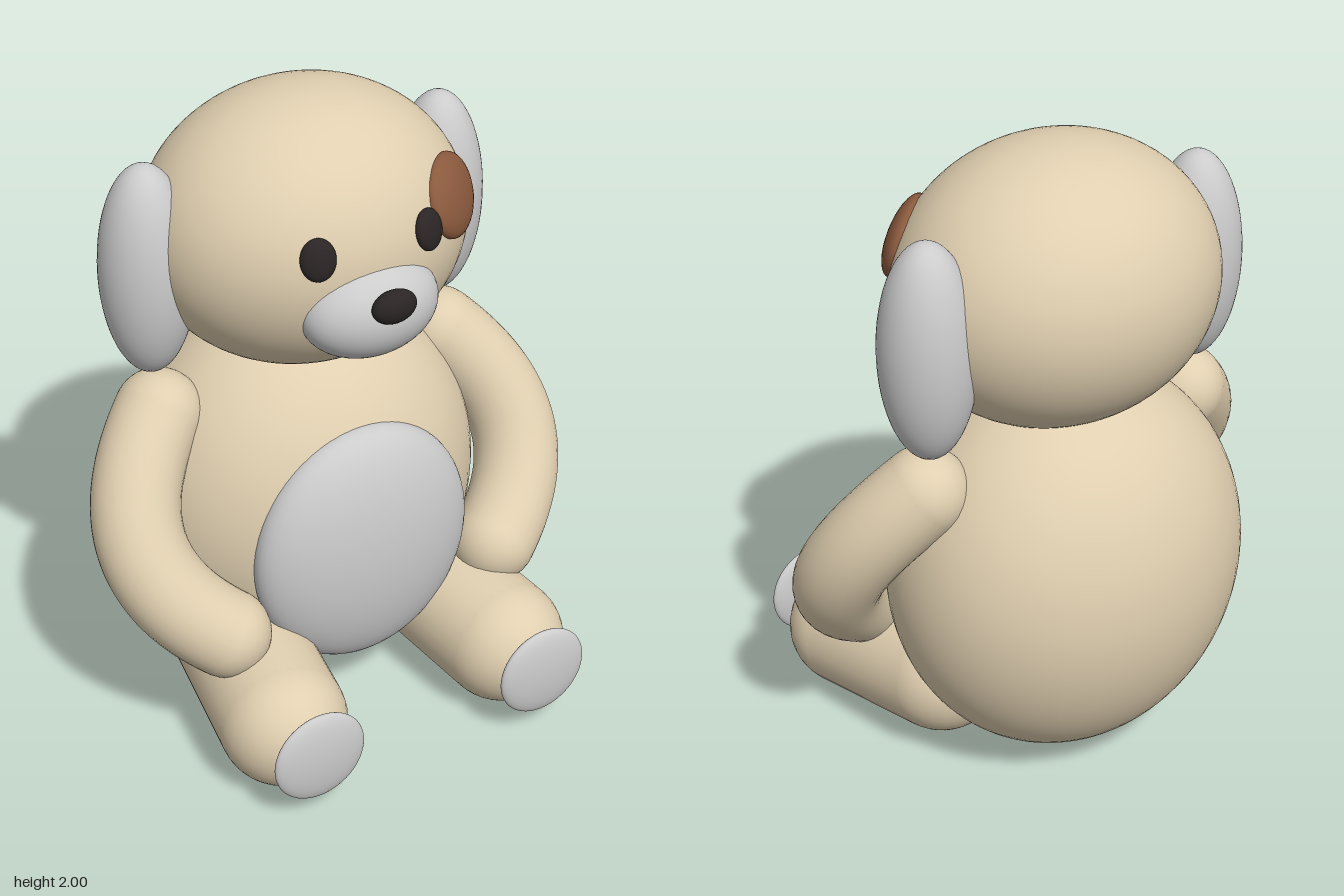
import * as THREE from 'three';

const V = (x, y, z) => new THREE.Vector3(x, y, z);
const mat = (color) => new THREE.MeshStandardMaterial({ color });

export function createModel() {
  const model = new THREE.Group();
  model.name = 'plushDog';
  const fur = mat(0xe0cfb0), grey = mat(0xcccccc), brown = mat(0x8b5a3e), dark = mat(0x2b2525);

  const add = (name, geometry, material, parent = model) => {
    const mesh = new THREE.Mesh(geometry, material);
    mesh.name = name;
    parent.add(mesh);
    return mesh;
  };

  // Ellipsoid with centre c and radii r
  const ellipsoid = (name, material, c, r, segments = 48) => {
    const mesh = add(name, new THREE.SphereGeometry(1, segments, segments * 0.67 | 0), material);
    mesh.position.set(...c);
    mesh.scale.set(...r);
    return mesh;
  };

  // Torso and head
  ellipsoid('body', fur, [0, 0.65, -0.19], [0.585, 0.635, 0.49], 64);
  ellipsoid('belly', grey, [0, 0.605, 0.21], [0.37, 0.415, 0.15]);
  const headCentre = V(0, 1.57, -0.14), headRadii = V(0.51, 0.43, 0.445);
  ellipsoid('head', fur, headCentre.toArray(), headRadii.toArray(), 64);

  // Flat spot lying on the head, turned along the head's surface normal
  const spot = (name, material, c, r) => {
    const mesh = ellipsoid(name, material, c, r, 32);
    const normal = V(...c).sub(headCentre).divide(headRadii).divide(headRadii);
    mesh.lookAt(normal.add(mesh.position));
  };

  // Face
  ellipsoid('muzzle', grey, [0, 1.46, 0.24], [0.22, 0.155, 0.148]);
  ellipsoid('nose', dark, [0, 1.52, 0.38], [0.072, 0.052, 0.038], 32);
  spot('eyePatch', brown, [0.325, 1.69, 0.155], [0.147, 0.126, 0.05]);

  // Round-ended limb along a curve
  const limb = (name, curve, radius) => {
    const group = new THREE.Group();
    group.name = name;
    add(name + 'Tube', new THREE.TubeGeometry(curve, 32, radius, 32), fur, group);
    for (const t of [0, 1]) {
      add(name + 'End', new THREE.SphereGeometry(radius, 32, 24), fur, group)
        .position.copy(curve.getPoint(t));
    }
    model.add(group);
  };

  // Mirrored parts: ears, eyes, arms, legs and foot pads
  for (const [side, s] of [['left', 1], ['right', -1]]) {
    ellipsoid(side + 'Ear', grey, [s * 0.5, 1.51, -0.185], [0.145, 0.34, 0.145]);
    spot(side + 'Eye', dark, [s * 0.183, 1.665, 0.266], [0.053, 0.064, 0.025]);
    limb(side + 'Arm', new THREE.QuadraticBezierCurve3(
      V(s * 0.5, 1.035, -0.15), V(s * 0.845, 0.71, 0.05), V(s * 0.485, 0.445, 0.23)), 0.137);
    limb(side + 'Leg', new THREE.LineCurve3(
      V(s * 0.34, 0.245, 0), V(s * 0.4, 0.205, 0.42)), 0.2);
    ellipsoid(side + 'FootPad', grey, [s * 0.4, 0.23, 0.645], [0.152, 0.152, 0.035]);
  }
  return model;
}
